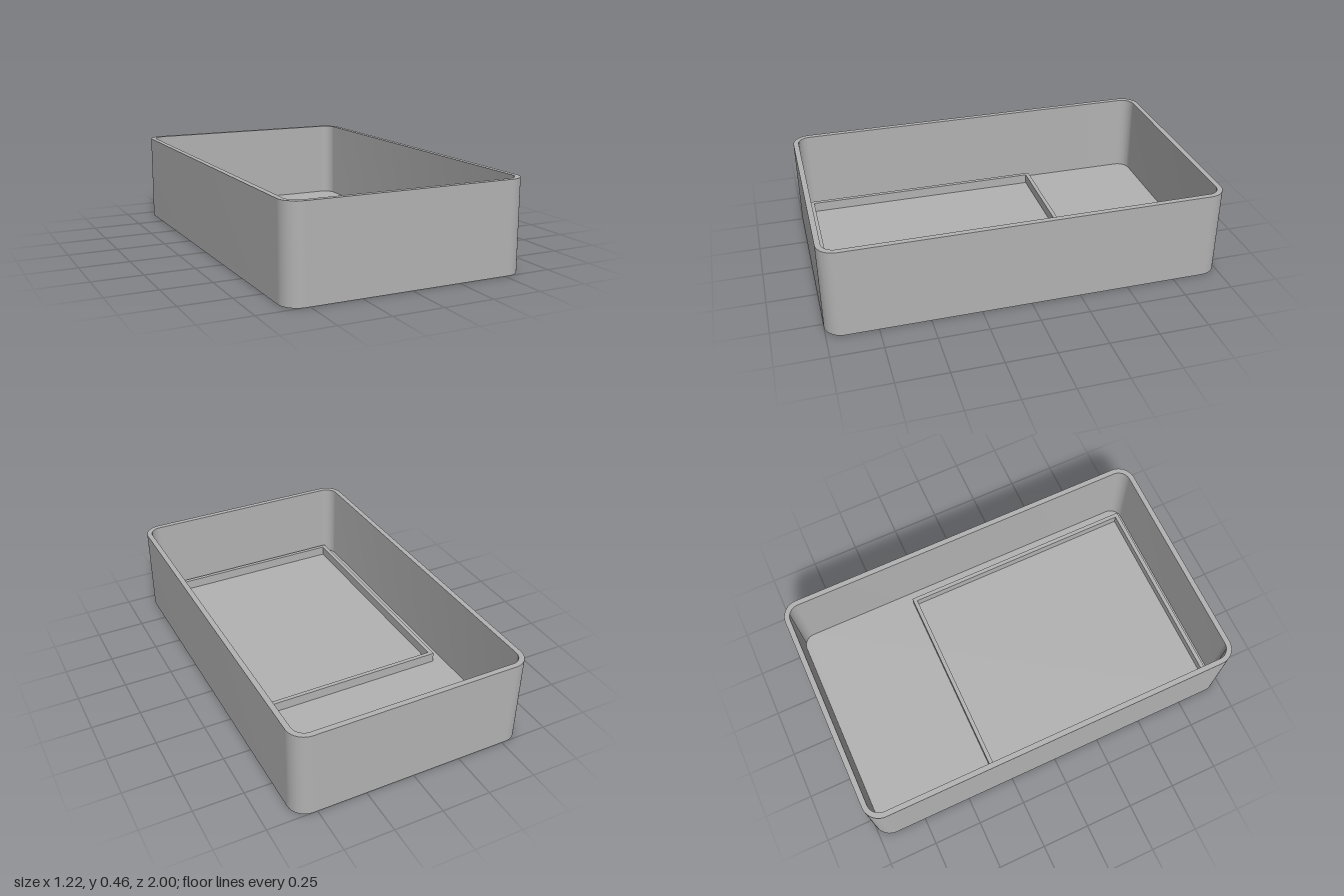
import * as THREE from 'three';
import { toCreasedNormals } from 'three/addons/utils/BufferGeometryUtils.js';

const WIDTH = 1.22, LENGTH = 2, HEIGHT = 0.457;
const WALL = 0.027, RADIUS = 0.09, FLOOR = 0.032;

// Rectangle centred on (0, cy), with rounded corners when r > 0
function outline(Type, w, l, r = 0, cy = 0) {
  const s = new Type(), x = w / 2, y = l / 2;
  if (r === 0) {
    s.moveTo(-x, cy - y);
    s.lineTo(x, cy - y);
    s.lineTo(x, cy + y);
    s.lineTo(-x, cy + y);
    s.closePath();
    return s;
  }
  s.absarc(x - r, cy + y - r, r, 0, Math.PI / 2);
  s.absarc(-x + r, cy + y - r, r, Math.PI / 2, Math.PI);
  s.absarc(-x + r, cy - y + r, r, Math.PI, Math.PI * 1.5);
  s.absarc(x - r, cy - y + r, r, Math.PI * 1.5, Math.PI * 2);
  s.closePath();
  return s;
}

// Extrudes a plan outline upwards from y0 to y1; plan y becomes -z
function slab(name, shape, y0, y1, material) {
  let geo = new THREE.ExtrudeGeometry(shape, { depth: y1 - y0, bevelEnabled: false, curveSegments: 16 });
  geo.rotateX(-Math.PI / 2);
  geo.translate(0, y0, 0);
  geo = toCreasedNormals(geo, Math.PI / 6);
  const mesh = new THREE.Mesh(geo, material);
  mesh.name = name;
  return mesh;
}

export function createModel() {
  const group = new THREE.Group();
  group.name = 'openTray';
  const grey = new THREE.MeshStandardMaterial({ color: 0xb2b2b2 });
  grey.name = 'grey';

  // Solid base plate
  group.add(slab('floor', outline(THREE.Shape, WIDTH, LENGTH, RADIUS), 0, FLOOR, grey));

  // Thin rounded outer wall
  const wall = outline(THREE.Shape, WIDTH, LENGTH, RADIUS);
  wall.holes.push(outline(THREE.Path, WIDTH - 2 * WALL, LENGTH - 2 * WALL, RADIUS - WALL));
  group.add(slab('outerWall', wall, FLOOR, HEIGHT, grey));

  // Low square-cornered rim towards the front of the floor
  const rim = outline(THREE.Shape, 1.054, 1.281, 0, -0.307);
  rim.holes.push(outline(THREE.Path, 1.012, 1.239, 0, -0.307));
  group.add(slab('innerRim', rim, FLOOR, 0.084, grey));

  return group;
}
